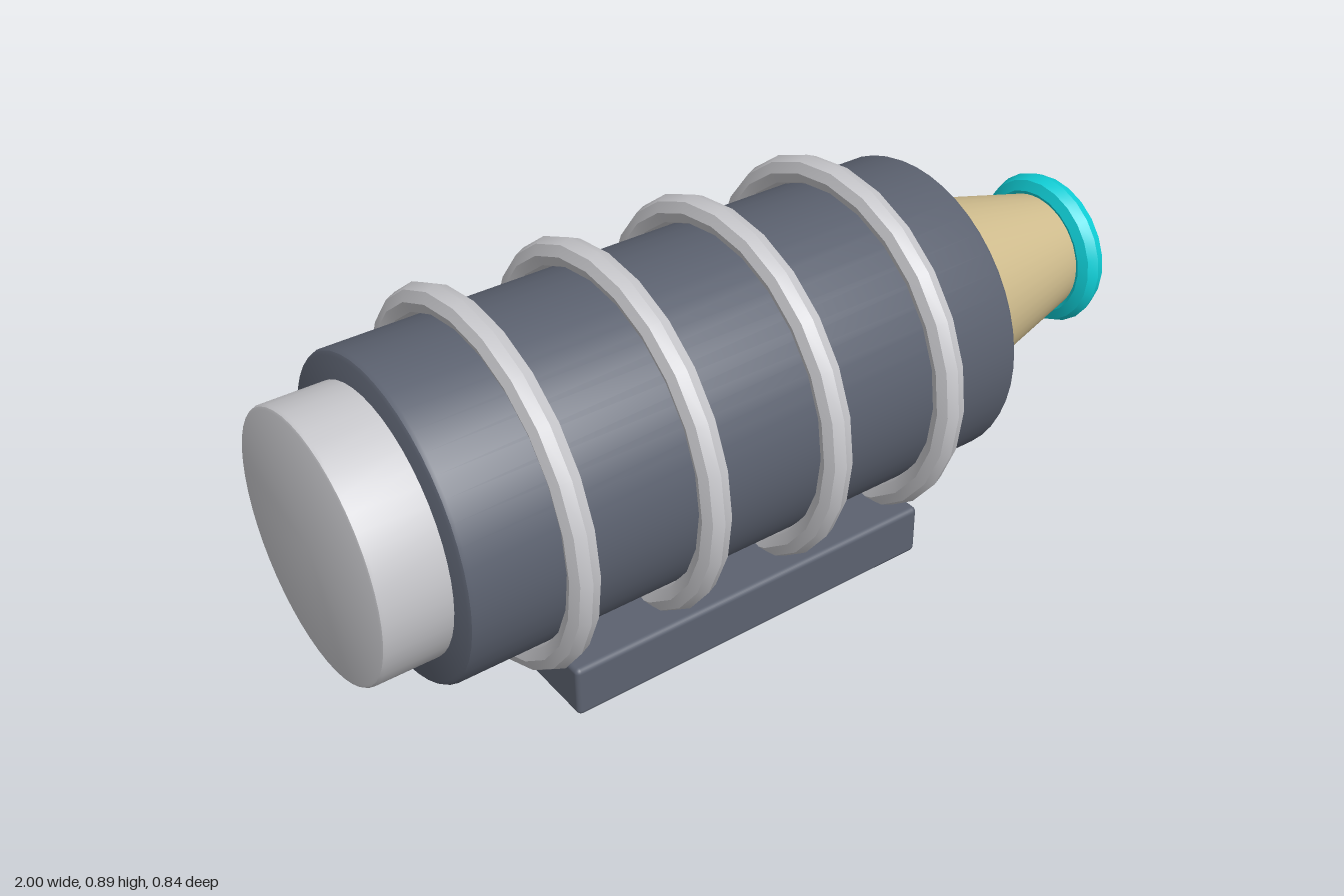
import * as THREE from 'three';
import { toCreasedNormals } from 'three/addons/utils/BufferGeometryUtils.js';
import { RoundedBoxGeometry } from 'three/addons/geometries/RoundedBoxGeometry.js';

const AXIS_Y = 0.467;

export function createModel() {
  const model = new THREE.Group();
  const material = (name, color) => {
    const m = new THREE.MeshStandardMaterial({ color });
    m.name = name;
    return m;
  };
  const slate = material('slate', 0x5c6270);
  const silver = material('silver', 0xc8c8cc);
  const sand = material('sand', 0xd0bd8e);
  const cyan = material('cyan', 0x10d0d8);

  const add = (name, geometry, mat, x, y) => {
    const mesh = new THREE.Mesh(geometry, mat);
    mesh.name = name;
    mesh.position.set(x, y, 0);
    model.add(mesh);
  };

  // Solid of revolution around the long axis, from [x, radius] pairs
  const turned = (name, profile, mat) => {
    const points = profile.map(([x, r]) => new THREE.Vector2(r, x));
    const geometry = new THREE.LatheGeometry(points, 48).rotateZ(-Math.PI / 2);
    add(name, toCreasedNormals(geometry, 0.6), mat, 0, AXIS_Y);
  };

  // Hoop around the long axis with an octagonal tube section
  const hoop = (name, x, radius, tube, mat) => {
    const geometry = new THREE.TorusGeometry(radius, tube, 8, 24).rotateY(Math.PI / 2);
    add(name, toCreasedNormals(geometry, 0.6), mat, x, AXIS_Y);
  };

  // Main barrel with softened rims
  turned('barrel', [
    [-0.85, 0], [-0.85, 0.343], [-0.846, 0.351], [-0.838, 0.355],
    [0.523, 0.355], [0.531, 0.351], [0.535, 0.343], [0.535, 0],
  ], slate);

  // Rear end cap
  turned('rearCap', [
    [-1, 0], [-1, 0.284], [-0.998, 0.29], [-0.992, 0.293], [-0.84, 0.293], [-0.84, 0],
  ], silver);

  // Tapered nozzle with a closed tip
  turned('nozzle', [[0.53, 0], [0.53, 0.246], [0.963, 0.138], [0.963, 0]], sand);
  hoop('nozzleRing', 0.966, 0.154, 0.034, cyan);

  // Evenly spaced bands
  for (let i = 0; i < 4; i++) {
    hoop('band' + (i + 1), -0.622 + i * 0.309, 0.387, 0.033, silver);
  }

  // Mounting base
  add('base', new RoundedBoxGeometry(0.925, 0.123, 0.555, 3, 0.012), slate, -0.122, 0.0615);

  return model;
}
